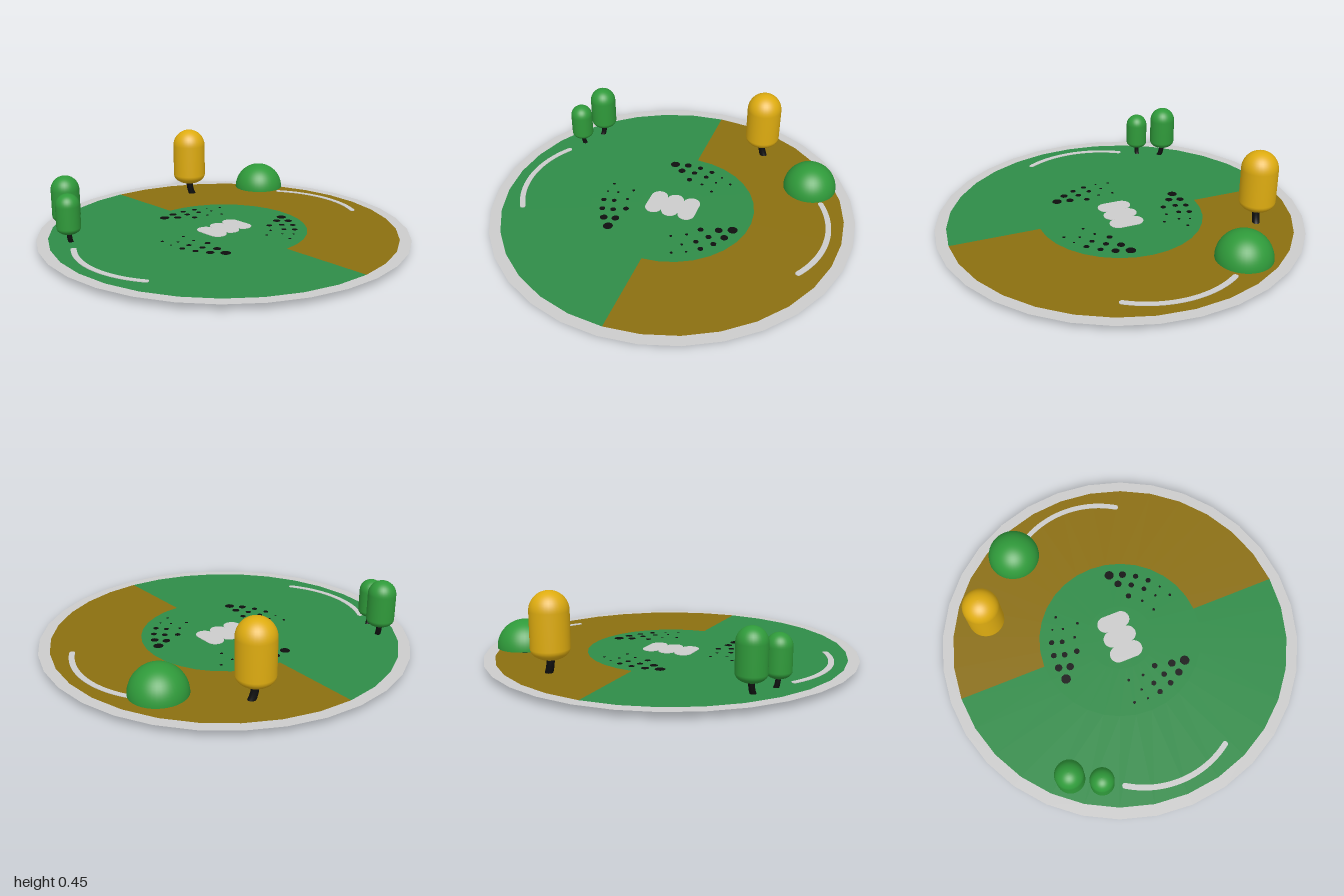
import * as THREE from 'three';

const GROUND = 0.036;
const mat = (name, color, side = THREE.FrontSide) => {
  const m = new THREE.MeshStandardMaterial({ color, side });
  m.name = name;
  return m;
};

export function createModel() {
  const D = THREE.DoubleSide;
  const paving = mat('pale grey', 0xcccccc, D);
  const grass = mat('lawn green', 0x2f8c48, D);
  const earth = mat('ochre', 0x8b6f10, D);
  const leaf = mat('leaf green', 0x2f9a3a, D);
  const gold = mat('gold leaf', 0xdeac10, D);
  const black = mat('black', 0x0e0e0e, D);

  const model = new THREE.Group();
  model.name = 'roundGarden';
  const add = (name, geometry, material, parent = model) => {
    const mesh = new THREE.Mesh(geometry, material);
    mesh.name = name;
    parent.add(mesh);
    return mesh;
  };

  // Flat ground: two half fields with kerbs, and the round lawn in the middle
  const lay = (g, y = GROUND) => g.rotateX(-Math.PI / 2).translate(0, y, 0);
  const half = (inner, outer, start) =>
    lay(new THREE.RingGeometry(inner, outer, 16, 1, start, Math.PI));
  add('backField', half(0.455, 0.94, 0), earth);
  add('frontField', half(0.455, 0.94, Math.PI), grass);
  add('backKerb', half(0.94, 1, 0), paving);
  add('frontKerb', half(0.94, 1, Math.PI), paving);
  add('lawnRing', lay(new THREE.RingGeometry(0.187, 0.455, 32)), grass);
  add('lawnCentre', lay(new THREE.CircleGeometry(0.187, 32)), grass);

  const plate = (shape) =>
    lay(new THREE.ExtrudeGeometry(shape, { depth: 0.003, bevelEnabled: false, curveSegments: 16 }));

  // Scalloped slab in the centre: three rounded rows
  const slab = new THREE.Shape();
  const r = 0.0475;
  slab.moveTo(0.047, -3 * r);
  for (const i of [-1, 0, 1]) slab.absarc(0.047, i * 2 * r, r, -Math.PI / 2, Math.PI / 2, false);
  for (const i of [1, 0, -1]) slab.absarc(-0.047, i * 2 * r, r, Math.PI / 2, Math.PI * 1.5, false);
  add('centreSlab', plate(slab).translate(0, 0, -0.004), paving);

  // Curved paths with round ends, front and back
  for (const [name, turn] of [['frontPath', Math.PI], ['backPath', 0]]) {
    const R = 0.526, w = 0.015, a = Math.PI / 2 - 0.585, b = Math.PI / 2 + 0.585;
    const s = new THREE.Shape();
    s.absarc(0, 0, R + w, a, b, false);
    s.absarc(R * Math.cos(b), R * Math.sin(b), w, b, b + Math.PI, false);
    s.absarc(0, 0, R - w, b, a, true);
    s.absarc(R * Math.cos(a), R * Math.sin(a), w, a + Math.PI, a + 2 * Math.PI, false);
    add(name, plate(s).translate(0, 0, -0.337).rotateY(turn), paving);
  }

  // Dots in three swirls: [radius, first angle, step, sizes]
  const rows = [
    [0.386, 77, 11.5, [0.027, 0.021, 0.016, 0.015, 0.006, 0.008]],
    [0.327, 69.7, 13.6, [0.021, 0.016, 0.014, 0.007]],
    [0.256, 56.6, 19, [0.016, 0.008, 0.008]],
  ];
  for (let k = 0; k < 3; k++) {
    const swirl = new THREE.Group();
    swirl.name = 'dotSwirl';
    swirl.rotation.y = (k * 2 * Math.PI) / 3;
    model.add(swirl);
    for (const [radius, first, step, sizes] of rows) {
      sizes.forEach((size, i) => {
        const a = THREE.MathUtils.degToRad(first - step * i);
        const dot = add('dot', new THREE.CylinderGeometry(size, size, 0.002, 12), black, swirl);
        dot.position.set(radius * Math.cos(a), GROUND, -radius * Math.sin(a));
      });
    }
  }

  // Tall trees: capsule crown with a flattened underside on a bent trunk
  const tree = (name, x, z, radius, bottom, top, material, trunkR, foot) => {
    const g = new THREE.Group();
    g.name = name;
    g.position.set(x, 0, z);
    model.add(g);
    const profile = [];
    const low = radius * 0.6;
    for (let i = 0; i <= 8; i++) {
      const a = (i / 8) * Math.PI / 2;
      profile.push(new THREE.Vector2(radius * Math.sin(a), bottom + low * (1 - Math.cos(a))));
    }
    for (let i = 0; i <= 12; i++) {
      const a = (i / 12) * Math.PI / 2;
      profile.push(new THREE.Vector2(radius * Math.cos(a), top - radius * (1 - Math.sin(a))));
    }
    add('crown', new THREE.LatheGeometry(profile, 32), material, g);
    const [fx, fy, fz] = foot;
    const path = new THREE.QuadraticBezierCurve3(
      new THREE.Vector3(0, bottom + 0.02, 0),
      new THREE.Vector3(0, bottom * 0.5, 0),
      new THREE.Vector3(fx, fy, fz));
    add('trunk', new THREE.TubeGeometry(path, 8, trunkR, 12), black, g);
    // Cap on the foot of the trunk
    const cap = add('trunkFoot', new THREE.CircleGeometry(trunkR, 12), black, g);
    cap.position.set(fx, fy, fz);
    cap.quaternion.setFromUnitVectors(new THREE.Vector3(0, 0, 1), path.getTangent(1));
  };
  tree('goldTree', -0.657, -0.336, 0.098, 0.105, 0.447, gold, 0.02, [0.009, 0.013, -0.03]);
  tree('largeGreenTree', -0.541, 0.649, 0.075, 0.09, 0.35, leaf, 0.015, [0.022, 0.021, 0.01]);
  tree('smallGreenTree', -0.398, 0.729, 0.063, 0.08, 0.297, leaf, 0.013, [-0.002, 0.025, -0.016]);

  // Dome bush on a short stump
  const bush = new THREE.Group();
  bush.name = 'domeBush';
  bush.position.set(-0.385, 0.07, -0.687);
  model.add(bush);
  add('dome', new THREE.SphereGeometry(0.146, 40, 16, 0, Math.PI * 2, 0, Math.PI / 2), leaf, bush);
  add('domeBase', new THREE.CircleGeometry(0.146, 40).rotateX(Math.PI / 2), leaf, bush);
  add('stump', new THREE.CylinderGeometry(0.027, 0.027, 0.034, 16).translate(0, -0.017, 0), black, bush);

  return model;
}
